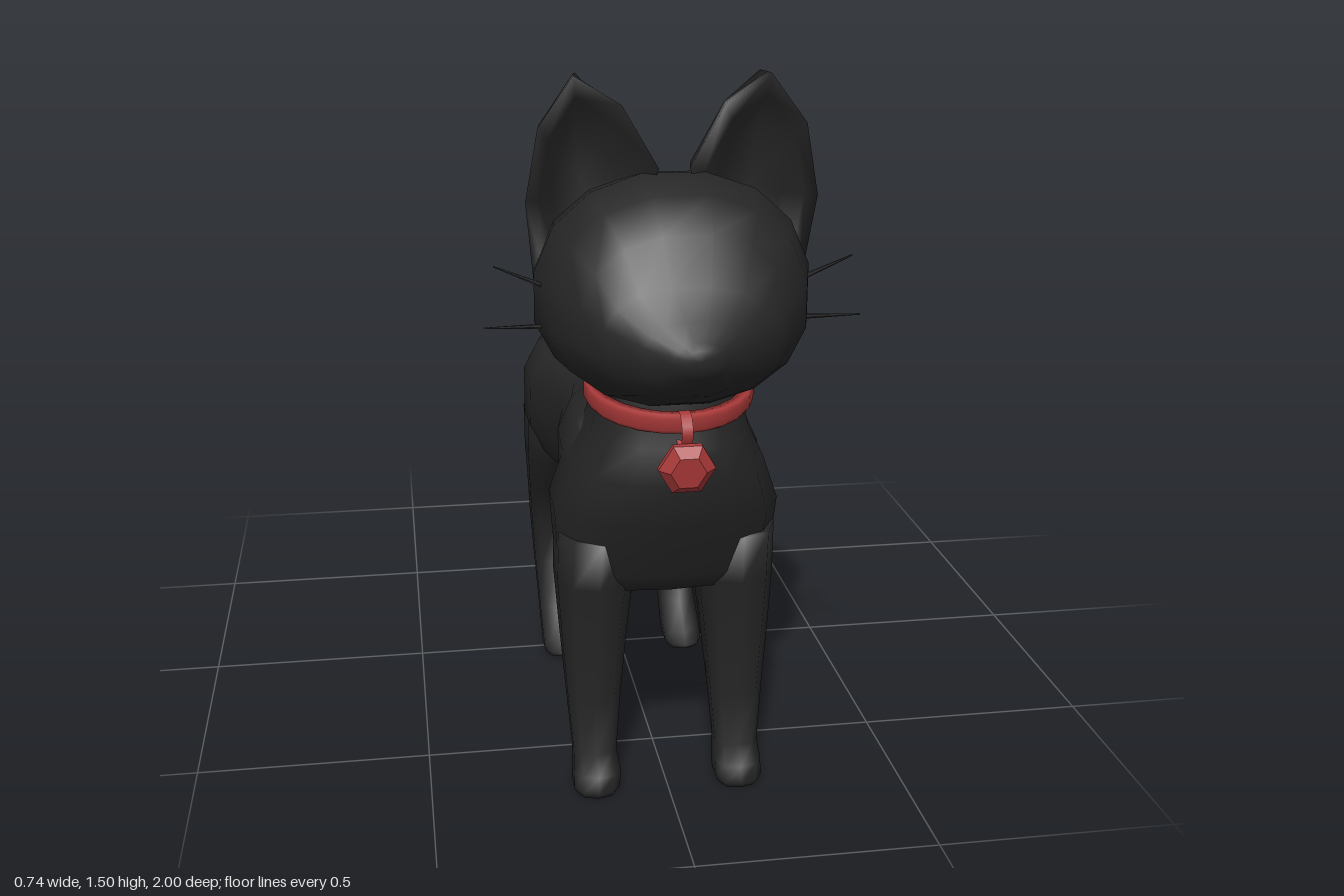
import * as THREE from 'three';

const fur = new THREE.MeshStandardMaterial({ color: 0x262626 });
const red = new THREE.MeshStandardMaterial({ color: 0xa83838, side: THREE.DoubleSide });

// Skin a closed surface over loops of points, all with the same point count
function loft(name, loops) {
  const n = loops[0].length, pos = [], idx = [];
  loops.forEach(loop => loop.forEach(p => pos.push(...p)));
  for (let r = 0; r < loops.length - 1; r++) {
    for (let k = 0; k < n; k++) {
      const a = r * n + k, b = r * n + (k + 1) % n;
      idx.push(a, b, b + n, a, b + n, a + n);
    }
  }
  // End caps as fans round the middle of the first and last loops
  [0, loops.length - 1].forEach((r, end) => {
    const c = pos.length / 3;
    for (let i = 0; i < 3; i++) pos.push(loops[r].reduce((s, p) => s + p[i], 0) / n);
    for (let k = 0; k < n; k++) {
      const a = r * n + k, b = r * n + (k + 1) % n;
      if (end) idx.push(c, a, b); else idx.push(c, b, a);
    }
  });
  const g = new THREE.BufferGeometry();
  g.setAttribute('position', new THREE.Float32BufferAttribute(pos, 3));
  g.setIndex(idx);
  g.computeVertexNormals();
  const mesh = new THREE.Mesh(g, fur);
  mesh.name = name;
  return mesh;
}

const soft = (v, power) => Math.sign(v) * Math.abs(v) ** power;

// Upright section: z, centre height, half width, reach up, reach down
const upright = (n, power) => ([z, cy, hw, up, down]) =>
  Array.from({ length: n }, (_, k) => {
    const a = (k / n) * Math.PI * 2 + Math.PI / n;
    const s = soft(Math.sin(a), power);
    return [hw * soft(Math.cos(a), power), cy + s * (s > 0 ? up : down), z];
  });

// Level section: y, back z, front z, inner x, outer x
const level = (n, power, side = 1) => ([y, z0, z1, x0, x1]) =>
  Array.from({ length: n }, (_, k) => {
    const a = (k / n) * Math.PI * 2 + Math.PI / n;
    return [side * (x0 + x1) / 2 + (x1 - x0) / 2 * soft(Math.cos(a), power), y,
      (z0 + z1) / 2 - (z1 - z0) / 2 * soft(Math.sin(a), power)];
  });

// Cupped ear: rounded back, rim, then a recessed inside
function ear(side) {
  const rim = [[.05, 1.27, .70], [.15, 1.16, .71], [.265, 1.08, .66], [.285, 1.27, .70],
    [.26, 1.41, .70], [.19, 1.505, .69], [.1, 1.45, .70], [.03, 1.33, .71]];
  const backZ = y => .53 + (y - 1.1) * .25;
  const loops = [
    rim.map(([x, y]) => [.17 + (x - .17) * .5, y, backZ(y)]),
    rim.map(([x, y, z]) => [.17 + (x - .17) * .92, y, (z + backZ(y)) / 2]),
    rim,
    rim.map(([x, y, z]) => [.17 + (x - .17) * .78, 1.27 + (y - 1.27) * .82, z - .01]),
    rim.map(([x, y, z]) => [.17 + (x - .17) * .5, 1.25 + (y - 1.25) * .6, z - .07]),
  ];
  return loft('ear', side > 0 ? loops
    : loops.map(l => l.map(([x, y, z]) => [-x, y, z]).reverse()));
}

// Thin tapering whisker between two points
function whisker(from, to) {
  const a = new THREE.Vector3(...from), b = new THREE.Vector3(...to);
  const dir = b.clone().sub(a);
  const mesh = new THREE.Mesh(new THREE.CylinderGeometry(.003, .013, dir.length(), 5), fur);
  mesh.scale.x = .5;
  mesh.quaternion.setFromUnitVectors(new THREE.Vector3(0, 1, 0), dir.normalize());
  mesh.position.copy(a).add(b).multiplyScalar(.5);
  mesh.scale.set(.45, 1, 1);
  mesh.name = 'whisker';
  return mesh;
}

export function createModel() {
  const cat = new THREE.Group();
  cat.name = 'cat';

  cat.add(loft('torso', [
    [-.19, .63, .13, .06, .07], [-.165, .65, .185, .11, .11], [-.13, .68, .21, .15, .15],
    [0, .68, .237, .178, .17], [.1, .68, .232, .162, .18], [.28, .67, .175, .155, .17],
    [.45, .67, .205, .19, .2], [.58, .67, .21, .18, .2], [.7, .65, .18, .13, .14],
  ].map(upright(14, .75))));

  cat.add(loft('neckAndChest', [
    [.46, .50, .71, -.21, .21], [.50, .46, .735, -.228, .228], [.63, .40, .80, -.237, .237],
    [.73, .38, .84, -.2, .2], [.80, .43, .825, -.165, .165], [.88, .49, .80, -.145, .145],
    [.98, .52, .80, -.14, .14],
  ].map(level(14, .85))));

  cat.add(loft('head', [
    [.48, 1.06, .13, .12, .09], [.515, 1.07, .2, .19, .15], [.6, 1.08, .262, .23, .18],
    [.7, 1.08, .276, .245, .2], [.79, 1.07, .25, .225, .19], [.86, 1.06, .205, .175, .155],
    [.9, 1.05, .165, .095, .13], [.955, 1.035, .1, .055, .085], [.99, 1.03, .05, .032, .035],
    [1, 1.03, .03, .02, .02],
  ].map(upright(16, .92))));

  for (const side of [1, -1]) {
    cat.add(ear(side));
    cat.add(whisker([side * .22, 1.035, .73], [side * .37, 1.035, .73]));
    cat.add(whisker([side * .22, 1.1, .73], [side * .35, 1.155, .73]));

    cat.add(loft('frontLeg', [
      [0, .64, .73, .11, .195], [.015, .625, .742, .102, .203], [.05, .62, .735, .1, .203],
      [.085, .61, .70, .105, .2], [.2, .585, .695, .095, .21], [.35, .535, .71, .08, .222],
      [.47, .49, .725, .065, .23], [.58, .47, .75, .06, .228],
    ].map(([y, z0, z1, x0, x1]) => [y, z0, z1, x0, x1]).map(r => {
      // Mirror the section across the middle, keeping its winding
      return level(10, .8)(side > 0 ? r : [r[0], r[1], r[2], -r[4], -r[3]]);
    })));

    cat.add(loft('hindLeg', [
      [.01, -.02, .09, .11, .195], [.025, -.04, .105, .105, .2], [.05, -.07, .08, .105, .2],
      [.1, -.135, 0, .11, .2], [.2, -.19, -.055, .11, .205], [.3, -.24, -.07, .105, .21],
      [.42, -.19, -.005, .095, .22], [.52, -.155, .09, .08, .23], [.62, -.17, .14, .07, .232],
      [.72, -.12, .1, .08, .2],
    ].map(r => level(10, .85)(side > 0 ? r : [r[0], r[1], r[2], -r[4], -r[3]]))));
  }

  cat.add(loft('tail', [
    [-1, .80, .035, .025, .02], [-.98, .80, .048, .04, .048], [-.93, .80, .052, .053, .052],
    [-.55, .80, .05, .046, .043], [-.22, .805, .047, .042, .045], [-.05, .80, .05, .05, .06],
  ].map(upright(8, 1))));

  // Collar band, lower at the front
  const band = [[.15, -.02], [.166, -.02], [.171, -.012], [.171, .012], [.166, .02], [.15, .02], [.15, -.02]];
  const collar = new THREE.Mesh(
    new THREE.LatheGeometry(band.map(p => new THREE.Vector2(...p)), 24), red);
  collar.name = 'collar';
  collar.position.set(0, .882, .662);
  collar.rotation.x = .16;
  cat.add(collar);

  // Loop that carries the tag
  const loop = new THREE.Mesh(new THREE.CylinderGeometry(.036, .036, .022, 14, 1, true), red);
  loop.name = 'tagLoop';
  loop.rotation.z = Math.PI / 2;
  loop.position.set(0, .85, .838);
  cat.add(loop);

  // Faceted six-sided tag
  const tagProfile = [[0, -.024], [.035, -.024], [.056, -.006], [.056, .006], [.035, .024], [0, .024]];
  const tagMaterial = red.clone();
  tagMaterial.flatShading = true;
  const tag = new THREE.Mesh(
    new THREE.LatheGeometry(tagProfile.map(p => new THREE.Vector2(...p)), 6, Math.PI / 2), tagMaterial);
  tag.name = 'tag';
  tag.rotation.x = Math.PI / 2 + .12;
  tag.position.set(0, .782, .868);
  cat.add(tag);

  return cat;
}
